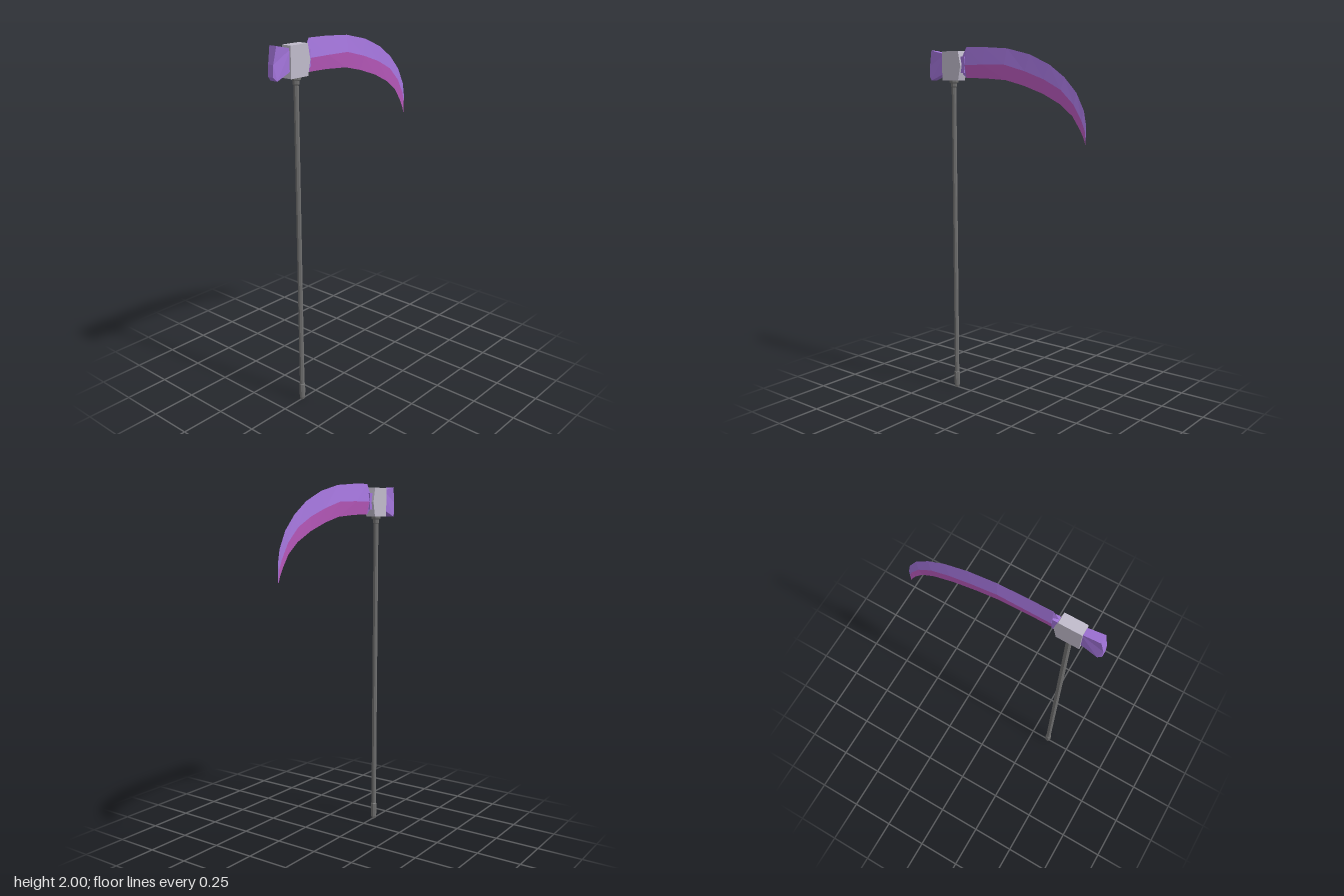
import * as THREE from 'three';

const mat = (name, color, extra = {}) => {
  const m = new THREE.MeshStandardMaterial({ color, flatShading: true, ...extra });
  m.name = name;
  return m;
};

export function createModel() {
  const group = new THREE.Group();
  const purple = mat('purple', 0xa274da);
  const magenta = mat('magenta', 0xbe5cc2);
  const steel = mat('paleSteel', 0xc0bbcb);
  const iron = mat('darkIron', 0x707070);
  const add = (name, geo, material) => {
    const mesh = new THREE.Mesh(geo, material);
    mesh.name = name;
    group.add(mesh);
    return mesh;
  };

  // Eight-sided turned handle parts, all on the line z = 0.36
  const turned = (name, profile) => {
    const geo = new THREE.LatheGeometry(profile.map(p => new THREE.Vector2(...p)), 8);
    add(name, geo.rotateY(Math.PI / 8), iron).position.z = 0.36;
  };
  turned('shaft', [[0.014, 0.05], [0.014, 1.83]]);
  turned('pommel', [[0, 0], [0.012, 0], [0.016, 0.015], [0.018, 0.06], [0.017, 0.095], [0.0138, 0.1]]);
  turned('collar', [[0.0138, 1.78], [0.018, 1.785], [0.018, 1.803], [0.026, 1.808], [0.026, 1.825], [0, 1.825]]);

  // Side profile in (z, y) extruded across x
  const slab = (profile, half) => {
    const shape = new THREE.Shape(profile.map(p => new THREE.Vector2(...p)));
    return new THREE.ExtrudeGeometry(shape, { depth: half * 2, bevelEnabled: false })
      .rotateY(-Math.PI / 2).translate(half, 0, 0);
  };
  add('headBlock', slab([[0.422, 1.82], [0.422, 1.98], [0.303, 1.98], [0.286, 1.9], [0.303, 1.82]], 0.029), steel);

  // Counterweight hammer, widening forwards and then chamfered at the face
  const hammer = slab([[0.41, 1.858], [0.41, 1.965], [0.51, 1.987], [0.528, 1.9], [0.53, 1.84], [0.51, 1.82]], 1);
  const pos = hammer.attributes.position;
  for (let i = 0; i < pos.count; i++) {
    const z = pos.getZ(i);
    pos.setX(i, pos.getX(i) * (z > 0.52 ? 0.017 : z > 0.5 ? 0.023 : 0.02));
  }
  hammer.computeVertexNormals();
  add('hammer', hammer, purple);

  add('neck', new THREE.BoxGeometry(0.032, 0.09, 0.045).translate(0, 1.905, 0.2925), purple);

  // Diamond blade sections: spine z,y / ridge z,y / edge z,y / half thickness
  const sections = [
    [0.292, 1.955, 0.292, 1.905, 0.292, 1.855, 0.013],
    [0.265, 2.0, 0.265, 1.903, 0.265, 1.832, 0.0155],
    [0.138, 1.997, 0.138, 1.903, 0.138, 1.83, 0.0155],
    [-0.021, 1.986, -0.011, 1.901, -0.011, 1.82, 0.0145],
    [-0.169, 1.952, -0.148, 1.865, -0.132, 1.791, 0.013],
    [-0.296, 1.899, -0.27, 1.823, -0.259, 1.749, 0.0115],
    [-0.392, 1.833, -0.376, 1.77, -0.37, 1.696, 0.01],
    [-0.466, 1.756, -0.455, 1.696, -0.444, 1.638, 0.008],
    [-0.513, 1.666, -0.503, 1.616, -0.492, 1.569, 0.006],
    [-0.527, 1.595, -0.522, 1.565, -0.513, 1.53, 0.003],
    [-0.526, 1.492, -0.526, 1.492, -0.526, 1.492, 0],
  ];
  const point = (s, row, side) => [row === 1 ? s[6] * side : 0, s[row * 2 + 1], s[row * 2]];

  // Both cheeks of one band, between row and row + 1 of the sections
  const band = (row, list) => {
    const verts = [];
    for (const side of [1, -1]) {
      for (let i = 0; i < list.length - 1; i++) {
        const a = point(list[i], row, side), b = point(list[i], row + 1, side);
        const c = point(list[i + 1], row + 1, side), d = point(list[i + 1], row, side);
        verts.push(...(side > 0 ? [a, b, c, a, c, d] : [a, c, b, a, d, c]).flat());
      }
    }
    const geo = new THREE.BufferGeometry();
    geo.setAttribute('position', new THREE.Float32BufferAttribute(verts, 3));
    geo.computeVertexNormals();
    return geo;
  };
  const root = sections.slice(0, 2), blade = sections.slice(1);
  add('bladeRootUpper', band(0, root), purple);
  add('bladeRootLower', band(1, root), purple);
  add('bladeSpine', band(0, blade), purple);
  add('bladeEdge', band(1, blade), magenta);

  return group;
}
